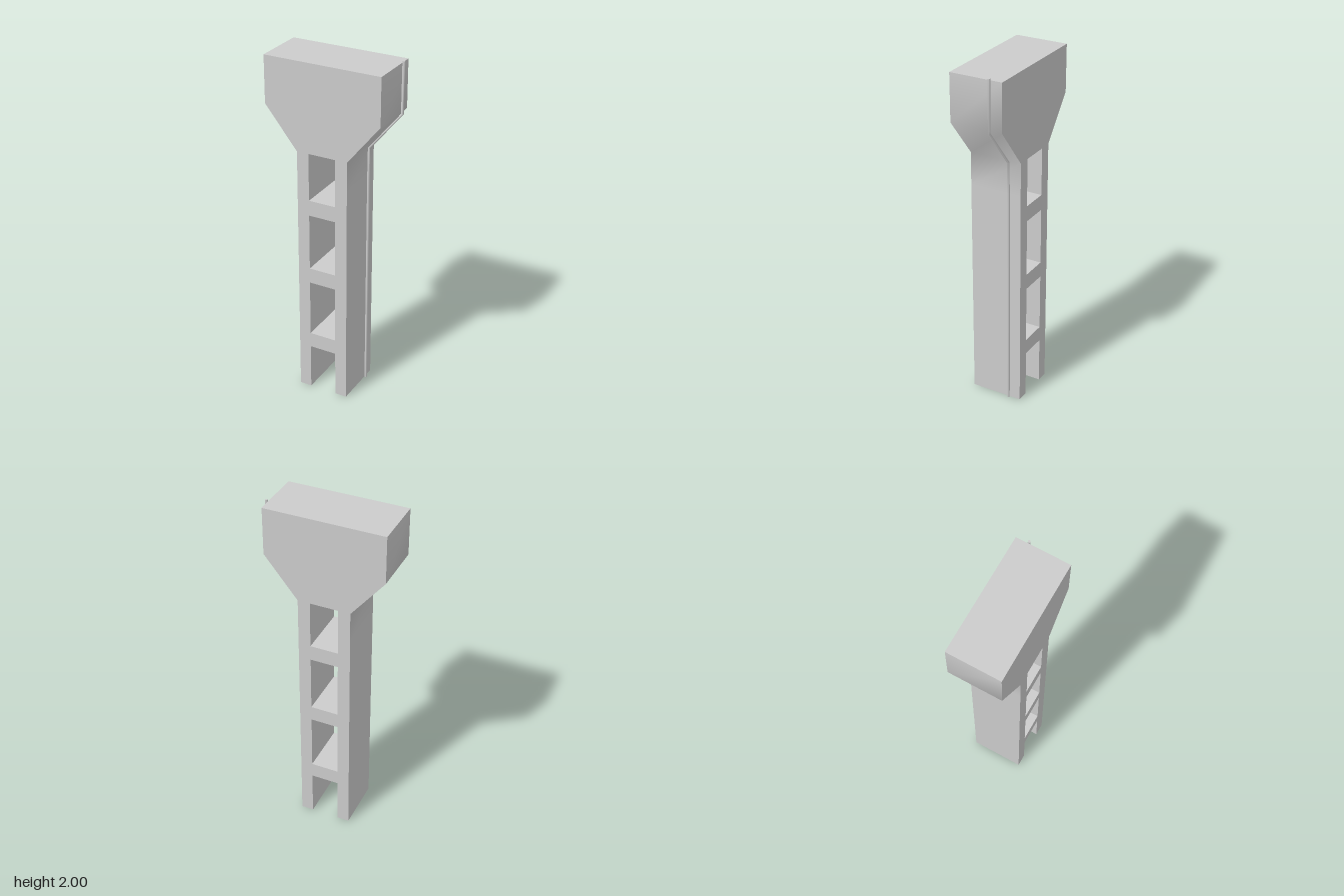
import * as THREE from 'three';
import { toCreasedNormals } from 'three/addons/utils/BufferGeometryUtils.js';

const CENTRE = -0.01; // the body sits slightly right of centre to leave room for the pipe
const DEPTH = 0.304;

// Twin-legged pier with flared head, cut as one profile
function createPier(material) {
  const half = [[0.08, 0.275], [0.08, 0], [0.15, 0], [0.15, 1.3], [0.15, 1.485], [0.34, 1.72], [0.34, 1.99]];
  const right = half.map(([x, y]) => new THREE.Vector2(CENTRE + x, y));
  const left = half.map(([x, y]) => new THREE.Vector2(CENTRE - x, y)).reverse();
  const shape = new THREE.Shape([...right, ...left]);

  // Openings between the cross beams
  for (const [bottom, top] of [[0.365, 0.7], [0.79, 1.12], [1.21, 1.485]]) {
    shape.holes.push(new THREE.Path([
      new THREE.Vector2(CENTRE - 0.08, bottom),
      new THREE.Vector2(CENTRE - 0.08, top),
      new THREE.Vector2(CENTRE + 0.08, top),
      new THREE.Vector2(CENTRE + 0.08, bottom),
    ]));
  }
  const geometry = new THREE.ExtrudeGeometry(shape, { depth: DEPTH, bevelEnabled: false });
  geometry.translate(0, 0, -DEPTH / 2);
  // Smooth across the flare, sharp at the square edges
  const pier = new THREE.Mesh(toCreasedNormals(geometry, 0.8), material);
  pier.name = 'pier';
  return pier;
}

// Thin drain pipe bent to follow the side of the pier
function createDrainPipe(material) {
  const path = [[0.338, 2], [0.338, 1.71], [0.149, 1.48], [0.147, 1.3], [0.147, 0]];
  const rows = path.length - 1;
  const geometry = new THREE.CylinderGeometry(0.008, 0.008, rows, 6, rows);
  const position = geometry.attributes.position;
  for (let i = 0; i < position.count; i++) {
    const [x, y] = path[Math.round(rows / 2 - position.getY(i))];
    position.setXYZ(i, position.getX(i) + x, y, position.getZ(i) - 0.082);
  }
  geometry.computeVertexNormals();
  const pipe = new THREE.Mesh(toCreasedNormals(geometry, 1.1), material);
  pipe.name = 'drainPipe';
  return pipe;
}

export function createModel() {
  const material = new THREE.MeshStandardMaterial({ color: 0xcccccc });
  const group = new THREE.Group();
  group.name = 'bridgePier';
  group.add(createPier(material), createDrainPipe(material));
  return group;
}
